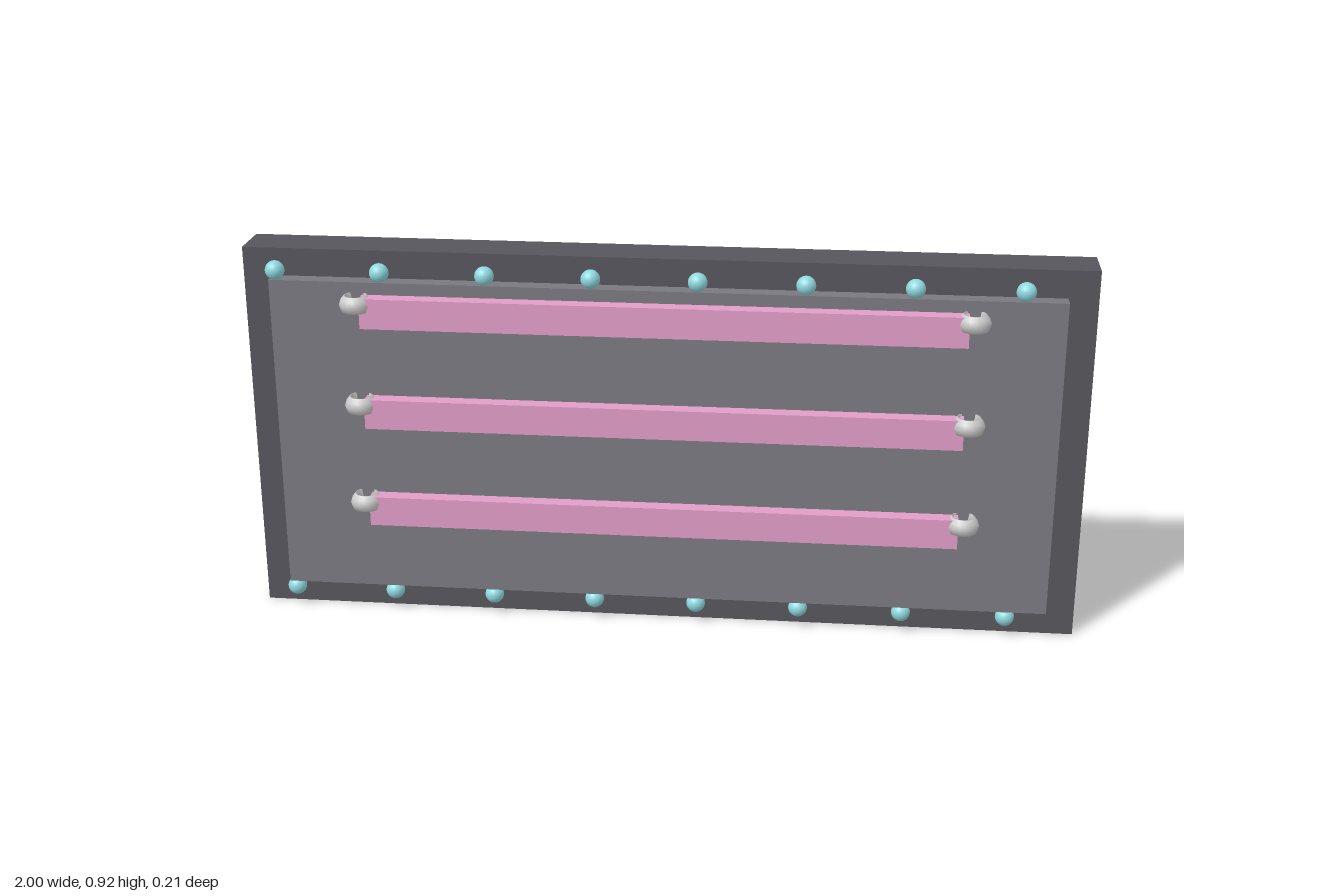
import * as THREE from 'three';

const material = (color) => new THREE.MeshStandardMaterial({ color });

export function createModel() {
  const group = new THREE.Group();
  const frameMat = material(0x55555c);
  const panelMat = material(0x7a7980);
  const tubeMat = material(0xe09cc6);
  const bulbMat = material(0x8fd8de);
  const clipMat = material(0xdcdce0);

  const add = (name, geometry, mat, x, y, z) => {
    const mesh = new THREE.Mesh(geometry, mat);
    mesh.name = name;
    mesh.position.set(x, y, z);
    group.add(mesh);
    return mesh;
  };

  // Dark backing board and the raised panel on its front
  add('backBoard', new THREE.BoxGeometry(2, 0.917, 0.117), frameMat, 0, 0.4585, -0.0485);
  add('frontPanel', new THREE.BoxGeometry(1.86, 0.78, 0.06), panelMat, 0, 0.46, 0.02);

  // Three light bars, each held by a bevelled ring at both ends
  const barGeo = new THREE.BoxGeometry(1.414, 0.073, 0.073);
  const ringProfile = [
    [0.024, -0.019], [0.034, -0.019], [0.039, -0.003], [0.035, 0.009],
    [0.027, 0.019], [0.024, 0.019], [0.022, 0], [0.024, -0.019],
  ].map(([r, y]) => new THREE.Vector2(r, y));
  const ringGeo = new THREE.LatheGeometry(ringProfile, 20);
  for (const y of [0.284, 0.534, 0.784]) {
    add('lightBar', barGeo, tubeMat, 0, y, 0.0505);
    for (const side of [-1, 1]) {
      add('barEndRing', ringGeo, clipMat, side * 0.718, y + 0.022, 0.068);
    }
  }

  // Rows of small bulbs along the top and bottom rims
  const bulbGeo = new THREE.SphereGeometry(0.023, 20, 14);
  for (const y of [0.052, 0.87]) {
    for (let i = 0; i < 8; i++) {
      add('rimBulb', bulbGeo, bulbMat, -0.917 + i * 0.25, y, 0.035);
    }
  }

  return group;
}
